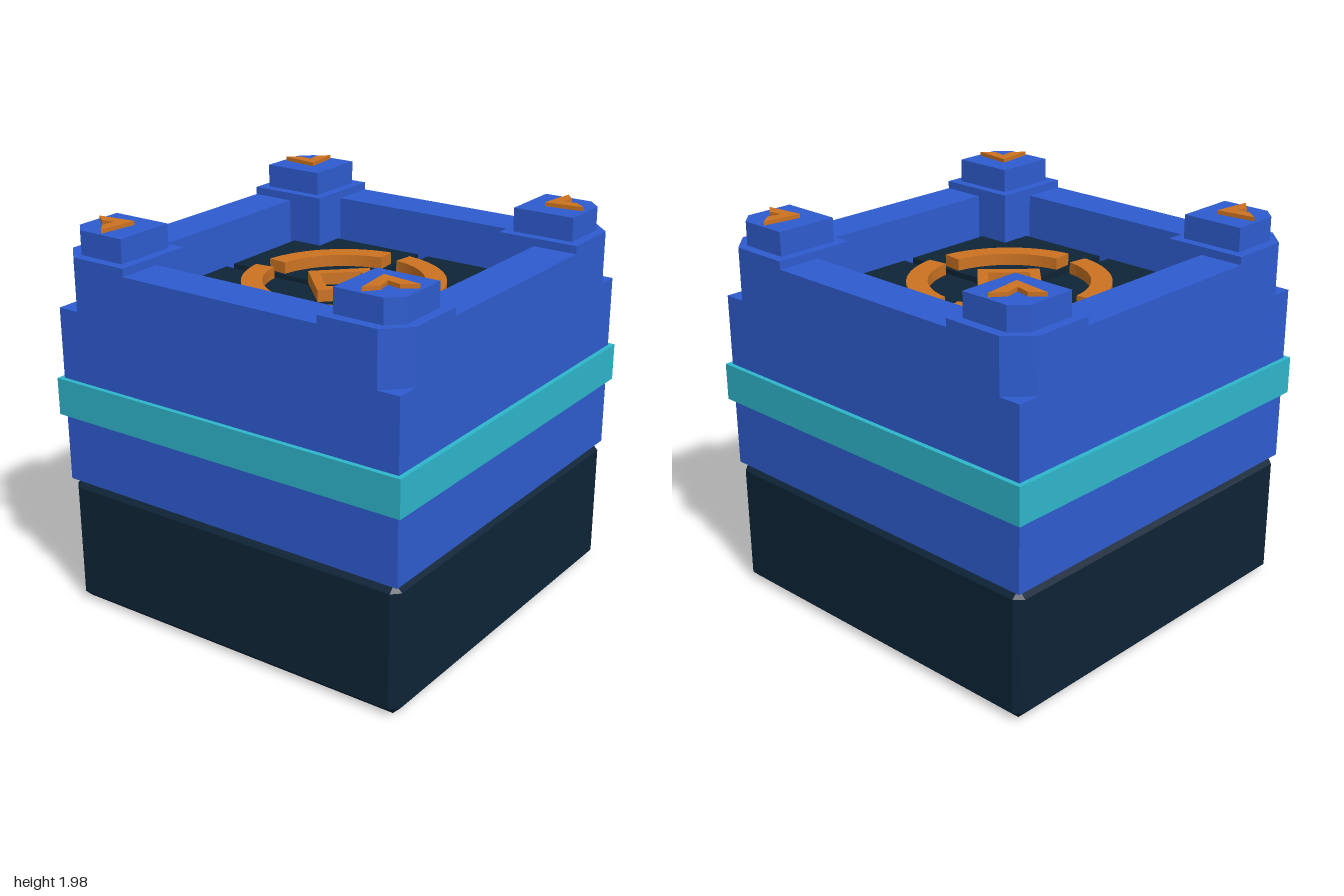
import * as THREE from 'three';
import { ConvexGeometry } from 'three/addons/geometries/ConvexGeometry.js';

const mat = (name, color) => {
  const m = new THREE.MeshStandardMaterial({ color });
  m.name = name;
  return m;
};

export function createModel() {
  const blue = mat('blue', 0x2e5cd0);
  const teal = mat('teal', 0x2eb6cc);
  const dark = mat('dark navy', 0x0e2437);
  const orange = mat('orange', 0xcc7322);
  const model = new THREE.Group();
  model.name = 'crate';

  const add = (parent, name, geometry, material) => {
    const mesh = new THREE.Mesh(geometry, material);
    mesh.name = name;
    parent.add(mesh);
    return mesh;
  };
  // Box given by its extents
  const box = (parent, name, material, x0, x1, y0, y1, z0, z1) =>
    add(parent, name, new THREE.BoxGeometry(x1 - x0, y1 - y0, z1 - z0), material)
      .position.set((x0 + x1) / 2, (y0 + y1) / 2, (z0 + z1) / 2);
  const toShape = (pts) => new THREE.Shape(pts.map(([x, y]) => new THREE.Vector2(x, y)));
  // Plan outline raised from y0 to y1
  const slab = (parent, name, material, shape, y0, y1) => {
    const g = new THREE.ExtrudeGeometry(shape, { depth: y1 - y0, bevelEnabled: false, curveSegments: 20 });
    g.rotateX(-Math.PI / 2);
    g.translate(0, y0, 0);
    return add(parent, name, g, material);
  };
  // Square plan from a to b with its outer corner cut by c
  const cutSquare = (a, b, c) => toShape([[a, a], [b, a], [b, b - c], [b - c, b], [a, b]]);

  // Base block with every edge chamfered
  const W = 0.975, H = 0.67, C = 0.04;
  const pts = [];
  for (const sx of [-1, 1]) for (const sy of [-1, 1]) for (const sz of [-1, 1]) {
    for (let axis = 0; axis < 3; axis++) {
      const d = [W - C, H / 2 - C, W - C];
      d[axis] += C;
      pts.push(new THREE.Vector3(sx * d[0], H / 2 + sy * d[1], sz * d[2]));
    }
  }
  add(model, 'base', new ConvexGeometry(pts), dark);

  // Body and the band around it
  const floorY = 1.52, panelY = 1.58, emblemY = 1.64;
  box(model, 'body', blue, -W, W, H, floorY, -W, W);
  box(model, 'band', teal, -1, 1, 1.02, 1.21, -1, 1);

  // Each quarter holds a wall, corner post, floor panel and emblem arc
  for (let i = 0; i < 4; i++) {
    const q = new THREE.Group();
    q.name = 'quarter' + (i + 1);
    q.rotation.y = i * Math.PI / 2;
    model.add(q);

    box(q, 'wall', blue, -0.55, 0.55, floorY, 1.8, 0.745, W);
    box(q, 'postFoot', blue, 0.55, W, floorY, 1.57, -W, -0.55);
    slab(q, 'post', blue, cutSquare(0.55, W, 0.115), 1.57, 1.84);
    slab(q, 'postCap', blue, cutSquare(0.6, 0.925, 0.07), 1.84, 1.96);
    slab(q, 'cornerArrow', orange, toShape([
      [0.71, 0.71], [0.91, 0.735], [0.845, 0.788], [0.773, 0.773], [0.788, 0.845], [0.735, 0.91],
    ]), 1.96, 1.98);

    box(q, 'floorPanel', dark, 0.03, 0.72, floorY, panelY, -0.72, -0.03);

    const gap = 0.112;
    const arc = new THREE.Shape();
    arc.absarc(0, 0, 0.505, gap, Math.PI / 2 - gap, false);
    arc.absarc(0, 0, 0.4, Math.PI / 2 - gap, gap, true);
    slab(q, 'ringArc', orange, arc, panelY, emblemY);
  }

  // Open diamond in the middle of the floor
  const diamond = (r) => [[r, 0], [0, r], [-r, 0], [0, -r]];
  const frame = toShape(diamond(0.22));
  frame.holes.push(toShape(diamond(0.145)));
  slab(model, 'diamond', orange, frame, panelY, emblemY);

  return model;
}
